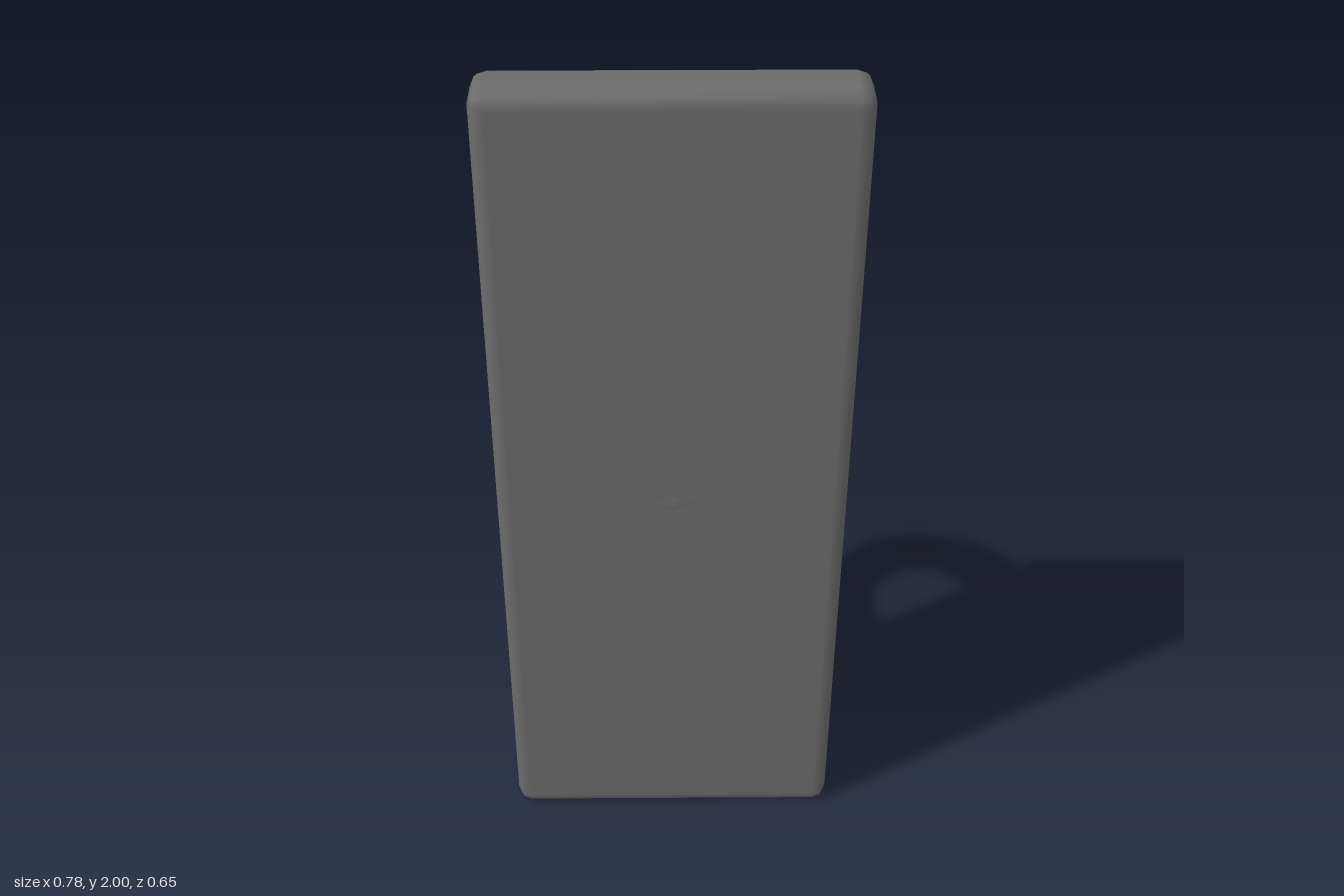
import * as THREE from 'three';
import { RoundedBoxGeometry } from 'three/addons/geometries/RoundedBoxGeometry.js';
import { mergeVertices } from 'three/addons/utils/BufferGeometryUtils.js';

// Shares all vertices so the shading runs smoothly over the bevels
function smooth(geometry) {
  geometry.deleteAttribute('normal');
  geometry.deleteAttribute('uv');
  const merged = mergeVertices(geometry, 1e-4);
  merged.computeVertexNormals();
  return merged;
}

export function createModel() {
  const group = new THREE.Group();
  const material = new THREE.MeshStandardMaterial({ color: 0x6c6c6d });

  // Upright slab with softly bevelled edges
  const plate = new THREE.Mesh(smooth(new RoundedBoxGeometry(0.778, 2, 0.134, 1, 0.033)), material);
  plate.name = 'plate';
  plate.position.set(0, 1, 0.2445);
  group.add(plate);

  // Horizontal ring handle sunk into the slab, one vertex pointing forward
  const ringGeometry = new THREE.TorusGeometry(0.245, 0.078, 6, 14);
  ringGeometry.rotateX(Math.PI / 2).rotateY(Math.PI / 2);
  const ring = new THREE.Mesh(smooth(ringGeometry), material);
  ring.name = 'ringHandle';
  ring.position.y = 1.002;
  group.add(ring);

  return group;
}
